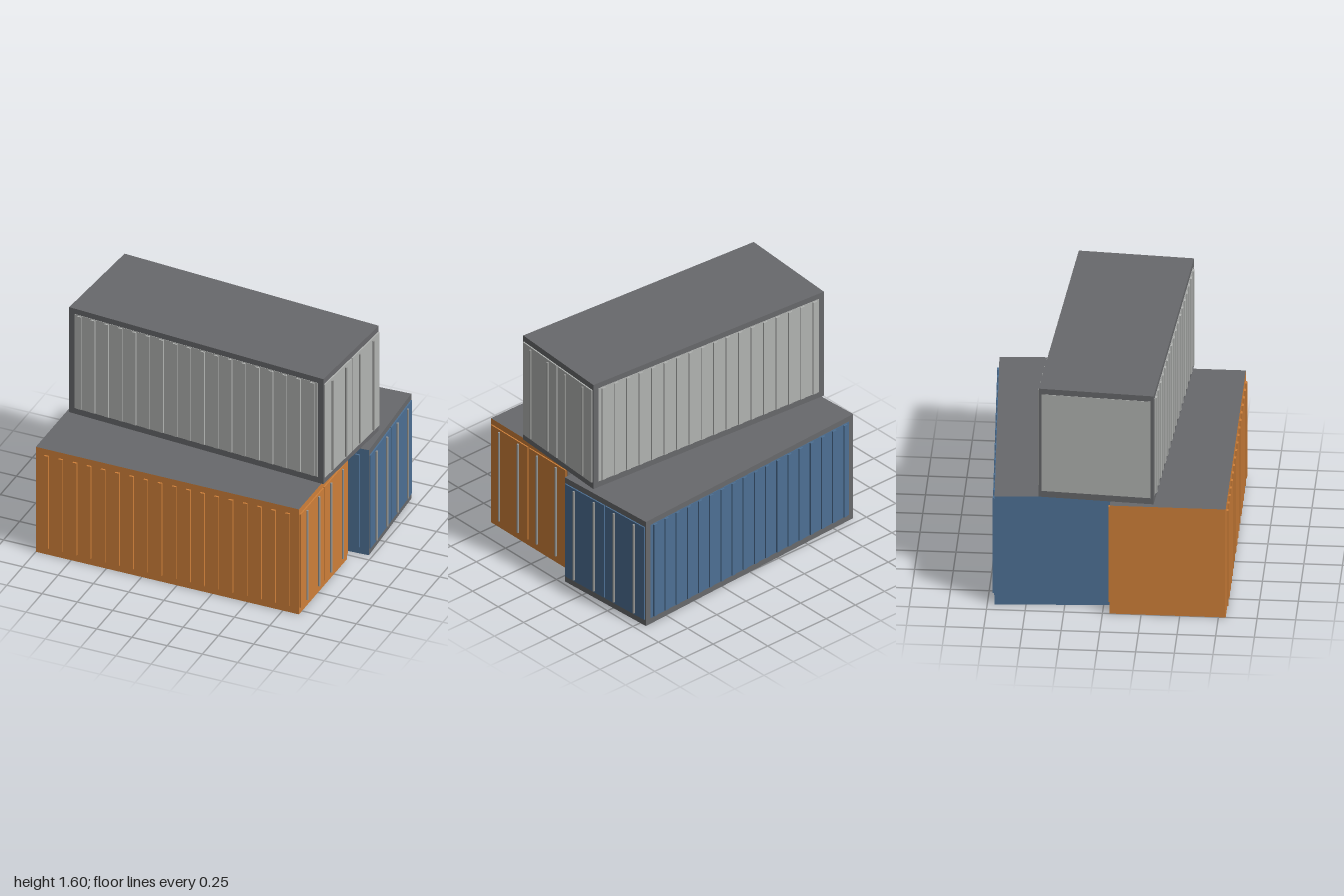
import * as THREE from 'three';

const L = 1.865, H = 0.795, D = 0.75;

const mat = (name, color) => {
  const m = new THREE.MeshStandardMaterial({ color });
  m.name = name;
  return m;
};

function box(parent, name, material, size, pos) {
  const mesh = new THREE.Mesh(new THREE.BoxGeometry(...size), material);
  mesh.name = name;
  mesh.position.set(...pos);
  parent.add(mesh);
  return mesh;
}

// One container, standing on y = 0, doors toward +x.
// framed lists which sides show the steel frame around a coloured panel.
function container(name, paint, steel, bar, framed) {
  const g = new THREE.Group();
  g.name = name;
  const side = (s) => (framed.includes(s) ? steel : paint);

  // Body: steel roof and floor, painted or framed walls
  box(g, 'body', [side('right'), side('left'), steel, steel, side('front'), side('back')],
    [L, H, D], [0, H / 2, 0]);

  // Long walls: thin panel inside the frame plus upright ribs
  for (const [s, key] of [[1, 'front'], [-1, 'back']]) {
    if (framed.includes(key)) {
      box(g, key + 'Panel', paint, [L - 0.08, 0.71, 0.004], [0, 0.4, s * (D / 2 + 0.001)]);
    }
    for (let i = 0; i < 18; i++) {
      const x = -0.855 + i * (1.71 / 17);
      box(g, key + 'Rib', paint, [0.03, 0.7, 0.02], [x, 0.4, s * (D / 2 + 0.003)]);
    }
  }

  // Plain end wall
  if (framed.includes('left')) {
    box(g, 'endPanel', paint, [0.004, 0.71, D - 0.04], [-L / 2 - 0.001, 0.4, 0]);
  }

  // Two doors, each with two upright locking bars
  for (const s of [-1, 1]) {
    box(g, 'door', paint, [0.012, 0.705, 0.362], [L / 2 + 0.003, 0.4, s * 0.186]);
    for (const z of [0.093, 0.278]) {
      const rod = new THREE.Mesh(new THREE.CylinderGeometry(0.0075, 0.0075, 0.675, 8), bar);
      rod.name = 'lockingBar';
      rod.position.set(L / 2 + 0.016, 0.4, s * z);
      g.add(rod);
    }
  }
  return g;
}

export function createModel() {
  const steel = mat('steel grey', 0x68696c);
  const bar = mat('bar grey', 0x9a9b99);
  const orange = mat('orange paint', 0xcf8039);
  const blue = mat('blue paint', 0x4d7094);
  const light = mat('light grey paint', 0xb2b4b2);

  const model = new THREE.Group();
  model.name = 'containerStack';

  const place = (c, x, y, z, turn) => {
    c.position.set(x, y, z);
    c.rotation.y = turn;
    model.add(c);
  };
  place(container('orangeContainer', orange, steel, bar, ['back']), -0.0675, 0.002, 0.422, 0);
  place(container('blueContainer', blue, steel, bar, ['back', 'right']), 0.023, 0.002, -0.378, 0.0535);
  place(container('lightContainer', light, steel, bar, ['front', 'back', 'left', 'right']),
    -0.02, 0.804, 0.02, -0.07);
  return model;
}
